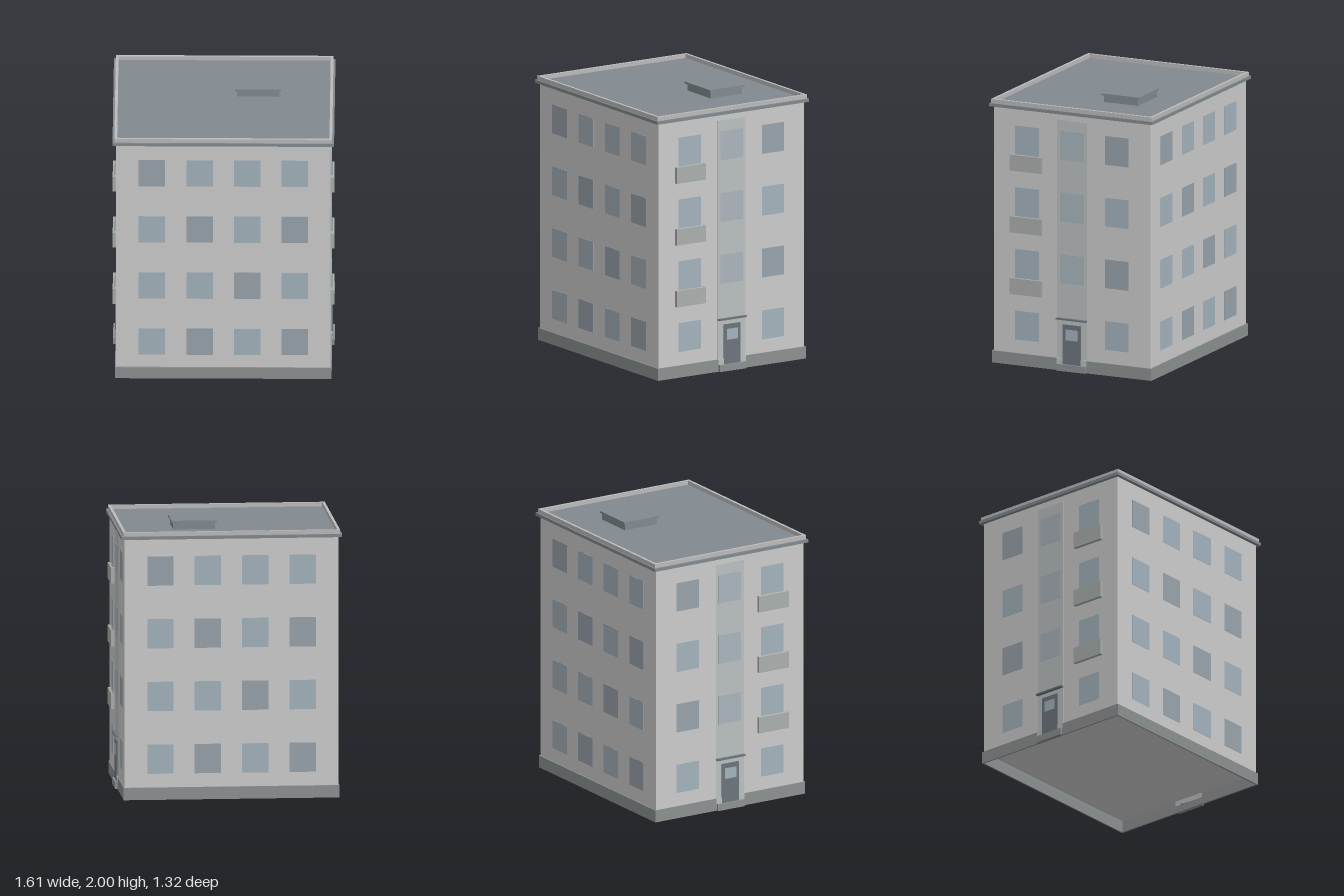
import * as THREE from 'three';

const mat = (color) => new THREE.MeshStandardMaterial({ color });
const wallMat = mat(0xcccccc);
const plinthMat = mat(0x8c9091);
const roofMat = mat(0x828a8f);
const trimMat = mat(0xbbbbbb);
const balconyMat = mat(0xaaafad);
const bayMat = mat(0xbabfbf);
const doorMat = mat(0x6c757c);
const glassMats = [mat(0xa4b2bc), mat(0x99a3ab)];
const bayGlassMat = mat(0xa9b5bc);

// Box given by its minimum and maximum corners
function box(parent, name, material, [x0, y0, z0], [x1, y1, z1]) {
  const mesh = new THREE.Mesh(new THREE.BoxGeometry(x1 - x0, y1 - y0, z1 - z0), material);
  mesh.position.set((x0 + x1) / 2, (y0 + y1) / 2, (z0 + z1) / 2);
  mesh.name = name;
  parent.add(mesh);
  return mesh;
}

// Rectangular frame standing on y0
function ring(parent, name, material, hx, hz, thickness, y0, y1) {
  const rect = (Type, x, z) =>
    new Type([[-x, -z], [x, -z], [x, z], [-x, z]].map(([a, b]) => new THREE.Vector2(a, b)));
  const shape = rect(THREE.Shape, hx, hz);
  shape.holes.push(rect(THREE.Path, hx - thickness, hz - thickness));
  const geo = new THREE.ExtrudeGeometry(shape, { depth: y1 - y0, bevelEnabled: false });
  geo.rotateX(-Math.PI / 2);
  const mesh = new THREE.Mesh(geo, material);
  mesh.position.y = y0;
  mesh.name = name;
  parent.add(mesh);
}

const WX = 0.777, WZ = 0.634; // half size of the walls
const FLOOR = 0.46, SILL = 0.19, WIN_W = 0.192, WIN_H = 0.215;
const FRONT_PATTERN = ['0101', '0010', '0101', '1000']; // glass shade, ground floor first

// Long wall with four columns of windows, facing +z
function longFacade() {
  const g = new THREE.Group();
  FRONT_PATTERN.forEach((row, f) => {
    [-0.517, -0.172, 0.172, 0.517].forEach((x, c) => {
      const y = SILL + f * FLOOR;
      box(g, 'window', glassMats[+row[c]],
        [x - WIN_W / 2, y, WZ - 0.01], [x + WIN_W / 2, y + WIN_H, WZ + 0.002]);
    });
  });
  return g;
}

// Short wall on the side given by s, with entrance bay and balconies
function shortFacade(s) {
  const g = new THREE.Group();
  const part = (name, m, x0, x1, y0, y1, z0, z1) =>
    box(g, name, m, [Math.min(s * x0, s * x1), y0, z0], [Math.max(s * x0, s * x1), y1, z1]);

  for (let f = 0; f < 4; f++) {
    const y = SILL + f * FLOOR;
    [0.364, -0.362].forEach((z, c) =>
      part('window', glassMats[c && f % 2 ? 1 : 0], WX - 0.01, WX + 0.002,
        y, y + WIN_H, z - WIN_W / 2, z + WIN_W / 2));
    if (f === 0) continue;
    part('stairWindow', bayGlassMat, WX - 0.01, WX + 0.004, y, y + WIN_H, -0.096, 0.096);

    // Balcony tray: slab, front panel and two end panels
    const y0 = y - 0.12, y1 = y, z0 = 0.237, z1 = 0.493, out = 0.803;
    part('balconySlab', balconyMat, WX, out, y0, y0 + 0.012, z0, z1);
    part('balconyFront', balconyMat, out - 0.01, out, y0, y1, z0, z1);
    part('balconyEnd', balconyMat, WX, out, y0, y1, z0, z0 + 0.01);
    part('balconyEnd', balconyMat, WX, out, y0, y1, z1 - 0.01, z1);
  }

  // Stair bay and entrance
  part('stairBay', bayMat, WX - 0.01, WX + 0.002, 0.09, 1.865, -0.12, 0.12);
  part('entranceBase', bayMat, WX - 0.01, 0.787, 0.05, 0.092, -0.12, 0.12);
  part('door', doorMat, WX - 0.01, 0.789, 0.05, 0.345, -0.072, 0.072);
  part('doorPane', glassMats[0], WX, 0.791, 0.23, 0.31, -0.048, 0.048);
  part('doorStep', plinthMat, WX - 0.005, 0.803, 0, 0.05, -0.116, 0.116);
  part('doorCanopy', doorMat, WX, 0.803, 0.38, 0.392, -0.12, 0.12);
  return g;
}

export function createModel() {
  const model = new THREE.Group();
  model.name = 'apartmentBuilding';

  // Walls above a hollow plinth
  box(model, 'walls', wallMat, [-WX, 0.088, -WZ], [WX, 1.915, WZ]);
  ring(model, 'plinth', plinthMat, 0.785, 0.644, 0.012, 0, 0.09);

  // Roof slab, parapet and roof hatch
  box(model, 'roofSlab', roofMat, [-0.803, 1.912, -0.66], [0.803, 1.935, 0.66]);
  ring(model, 'parapet', trimMat, 0.789, 0.65, 0.02, 1.935, 1.965);
  box(model, 'hatchBase', roofMat, [0.095, 1.935, -0.345], [0.4, 1.985, -0.07]);
  box(model, 'hatchCap', roofMat, [0.08, 1.985, -0.357], [0.412, 2, -0.057]);

  // Facades
  const front = longFacade();
  front.name = 'frontWindows';
  const back = longFacade();
  back.name = 'backWindows';
  back.rotation.y = Math.PI;
  model.add(front, back);
  for (const s of [1, -1]) {
    const side = shortFacade(s);
    side.name = s > 0 ? 'leftFacade' : 'rightFacade';
    model.add(side);
  }
  return model;
}
